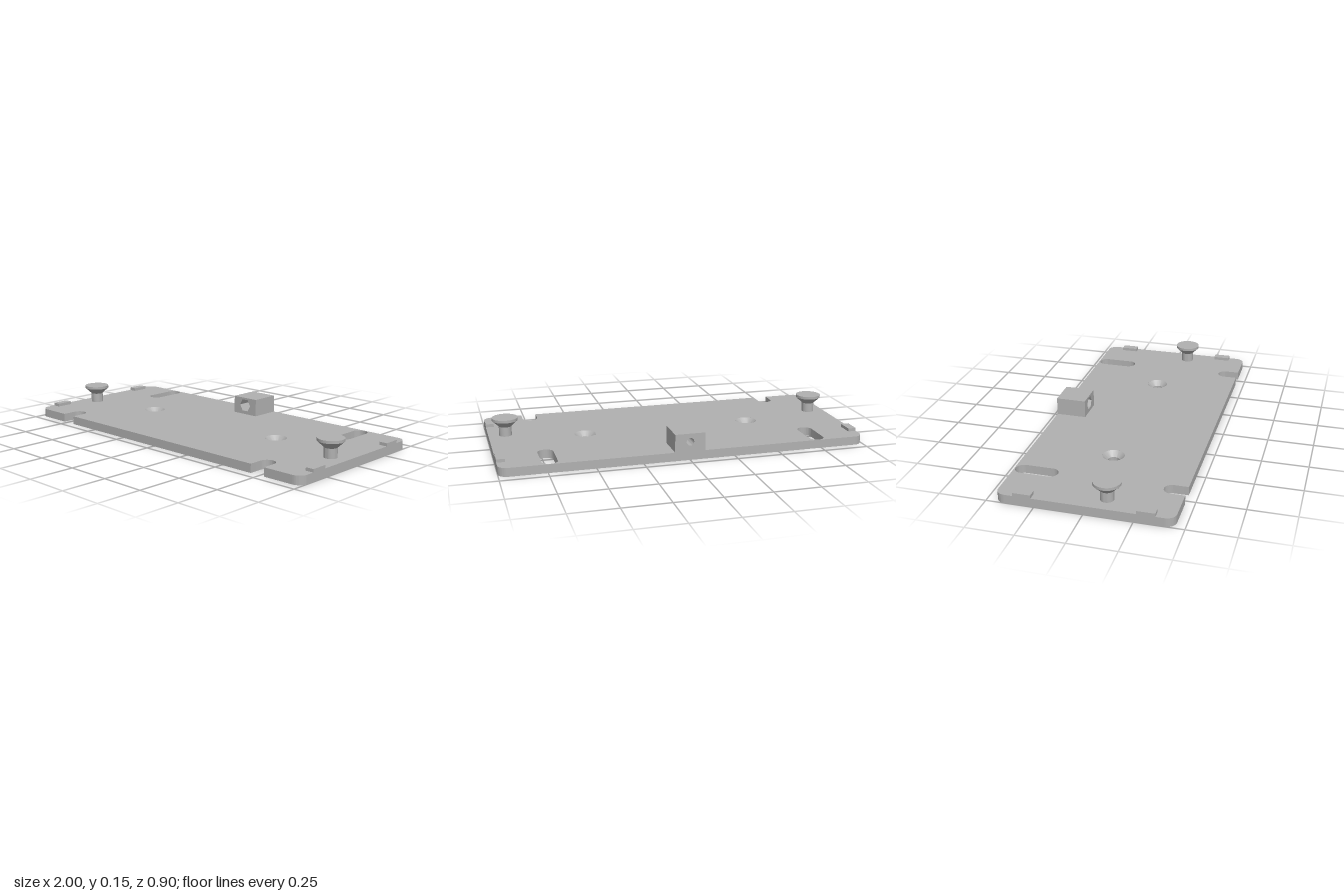
import * as THREE from 'three';
import { toCreasedNormals } from 'three/addons/utils/BufferGeometryUtils.js';

const W = 1, D = 0.452, T = 0.047, CORNER = 0.05; // plate half width, half depth, thickness
const SLOT_X = 0.735, SLOT_R = 0.042;
const SCREW_X = 0.476, SINK_R = 0.059, BORE_R = 0.03;

export function createModel() {
  const model = new THREE.Group();
  model.name = 'mountingPlate';
  const grey = new THREE.MeshStandardMaterial({ color: 0xb0b0b0 });
  grey.name = 'grey';

  const add = (name, geometry, x = 0, y = 0, z = 0) => {
    const mesh = new THREE.Mesh(geometry, grey);
    mesh.name = name;
    mesh.position.set(x, y, z);
    model.add(mesh);
  };
  const extrude = (shape, depth) => toCreasedNormals(
    new THREE.ExtrudeGeometry(shape, { depth, bevelEnabled: false, curveSegments: 32 }), 0.5);
  const lathe = (points) => toCreasedNormals(
    new THREE.LatheGeometry(points.map(([r, y]) => new THREE.Vector2(r, y)), 32), 0.5);
  const roundHole = (x, y, r) => new THREE.Path().absarc(x, y, r, 0, Math.PI * 2, true);

  // Plate outline, drawn with shape y = -z; the front edge has two open notches
  const outline = new THREE.Shape();
  outline.moveTo(-W + CORNER, -D);
  for (const x of [-SLOT_X, SLOT_X]) {
    outline.lineTo(x - SLOT_R, -D);
    outline.absarc(x, -0.335 - SLOT_R, SLOT_R, Math.PI, 0, true);
    outline.lineTo(x + SLOT_R, -D);
  }
  [[1, -1], [1, 1], [-1, 1], [-1, -1]].forEach(([sx, sy], i) => {
    const start = (i - 1) * Math.PI / 2;
    outline.absarc(sx * (W - CORNER), sy * (D - CORNER), CORNER, start, start + Math.PI / 2, false);
  });

  // Closed slots near the back edge and the two screw holes
  for (const s of [-1, 1]) {
    const slot = new THREE.Path();
    slot.absarc(s * SLOT_X, 0.447 - SLOT_R, SLOT_R, 0, Math.PI, false);
    slot.absarc(s * SLOT_X, 0.216 + SLOT_R, SLOT_R, Math.PI, Math.PI * 2, false);
    slot.closePath();
    outline.holes.push(slot, roundHole(s * SCREW_X, 0, SINK_R));
  }
  add('plate', extrude(outline, T).rotateX(-Math.PI / 2));

  // Countersunk seats, posts with flared heads, and edge tabs
  const seat = lathe([[SINK_R, T], [BORE_R, 0.02], [BORE_R, 0], [SINK_R, 0]]);
  const post = lathe([[0.035, T], [0.035, 0.1], [0.071, 0.134], [0.071, 0.149], [0, 0.149]]);
  const tab = new THREE.BoxGeometry(0.045, 0.017, 0.093);
  for (const [s, side] of [[1, 'left'], [-1, 'right']]) {
    add(side + 'ScrewSeat', seat, s * SCREW_X);
    add(side + 'Post', post, s * 0.906, 0, 0.095);
    add(side + 'FrontTab', tab, s * 0.9775, T + 0.0085, 0.311);
    add(side + 'BackTab', tab, s * 0.9775, T + 0.0085, -0.311);
  }

  // Back block: a hexagonal nut pocket in front leading into a round bore
  const blockShape = (hole) => {
    const shape = new THREE.Shape();
    shape.moveTo(-0.083, T).lineTo(0.083, T).lineTo(0.083, 0.145).lineTo(-0.083, 0.145).closePath();
    shape.holes.push(hole);
    return shape;
  };
  const hexagon = new THREE.Path().setFromPoints(Array.from({ length: 6 }, (_, i) =>
    new THREE.Vector2(0.039 * Math.cos(-i * Math.PI / 3), 0.1 + 0.039 * Math.sin(-i * Math.PI / 3))));
  hexagon.closePath();
  add('blockBack', extrude(blockShape(roundHole(0, 0.1, 0.021)), 0.092), 0, 0, -D);
  add('blockFront', extrude(blockShape(hexagon), 0.074), 0, 0, -0.36);

  return model;
}
